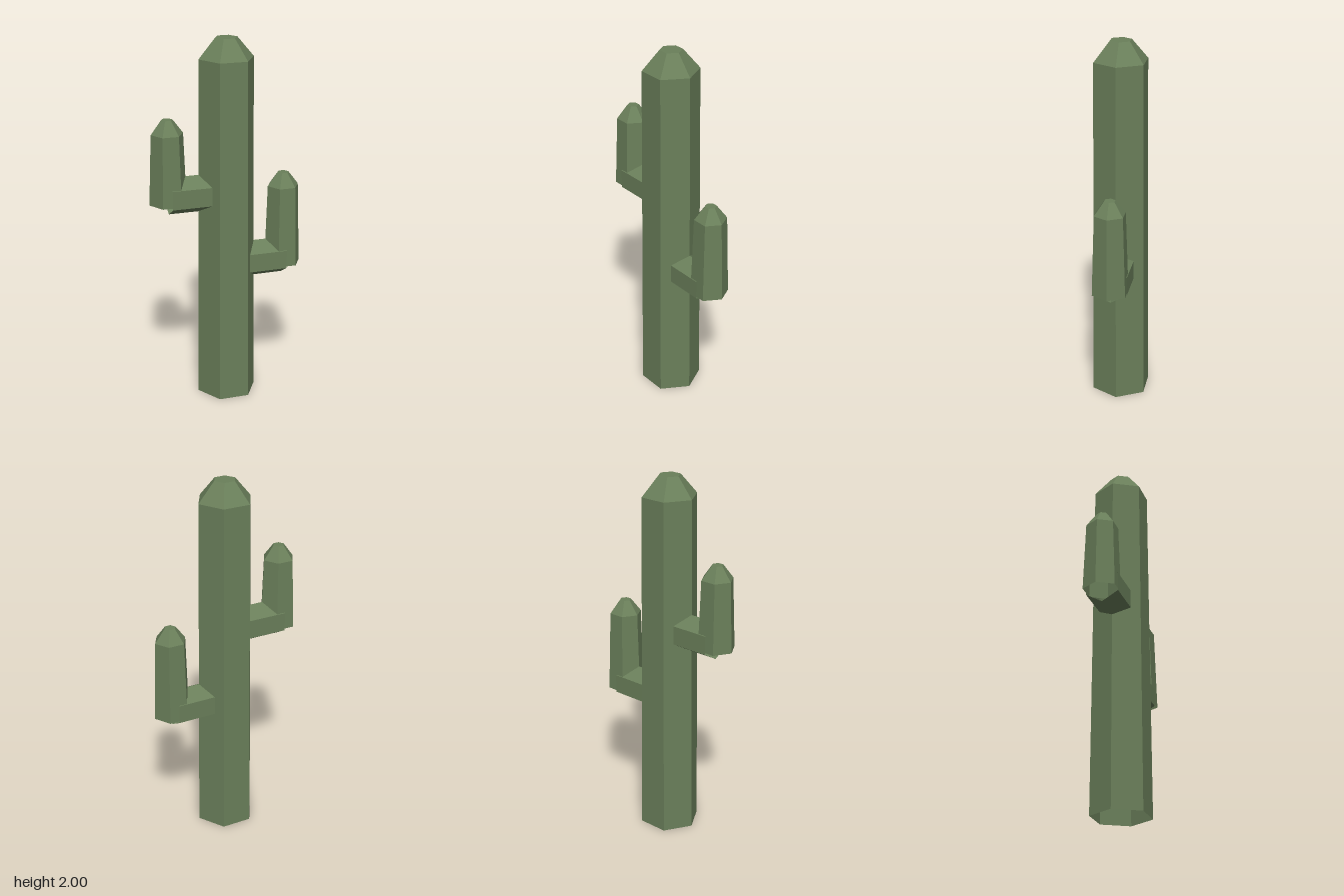
import * as THREE from 'three';

const SIDES = 6;

// Faceted normals for every triangle
function facet(geometry) {
  const flat = geometry.toNonIndexed();
  flat.computeVertexNormals();
  return flat;
}

export function createModel() {
  const cactusGreen = new THREE.MeshStandardMaterial({
    color: 0x6a7f5a, flatShading: true, side: THREE.DoubleSide,
  });
  cactusGreen.name = 'cactusGreen';

  const add = (parent, name, geometry) => {
    const mesh = new THREE.Mesh(facet(geometry), cactusGreen);
    mesh.name = name;
    parent.add(mesh);
    return mesh;
  };

  // Tapered hexagonal column with a bevelled tip and an open base
  const column = (baseR, shoulderR, tipR, shoulderY, height) =>
    new THREE.LatheGeometry([
      new THREE.Vector2(baseR, 0),
      new THREE.Vector2(shoulderR, shoulderY),
      new THREE.Vector2(tipR, height),
      new THREE.Vector2(0, height),
    ], SIDES, Math.PI / 2);

  const cactus = new THREE.Group();
  cactus.name = 'cactus';

  add(cactus, 'trunk', column(0.165, 0.15, 0.06, 1.893, 2));

  // Each arm is an open horizontal branch carrying an upright column
  const arms = [
    { name: 'leftArm', side: 1, y: 0.768, shoulder: 0.445, height: 0.519 },
    { name: 'rightArm', side: -1, y: 1.173, shoulder: 0.382, height: 0.457 },
  ];
  for (const { name, side, y, shoulder, height } of arms) {
    const arm = new THREE.Group();
    arm.name = name;
    arm.position.y = y;
    cactus.add(arm);

    const branch = new THREE.CylinderGeometry(0.102, 0.102, 0.32, SIDES, 1, true, Math.PI / 2);
    branch.rotateZ(Math.PI / 2);
    add(arm, name + 'Branch', branch).position.x = side * 0.16;

    const upright = add(arm, name + 'Upright', column(0.102, 0.087, 0.031, shoulder, height));
    upright.position.set(side * 0.323, -0.041, 0);
  }
  return cactus;
}
